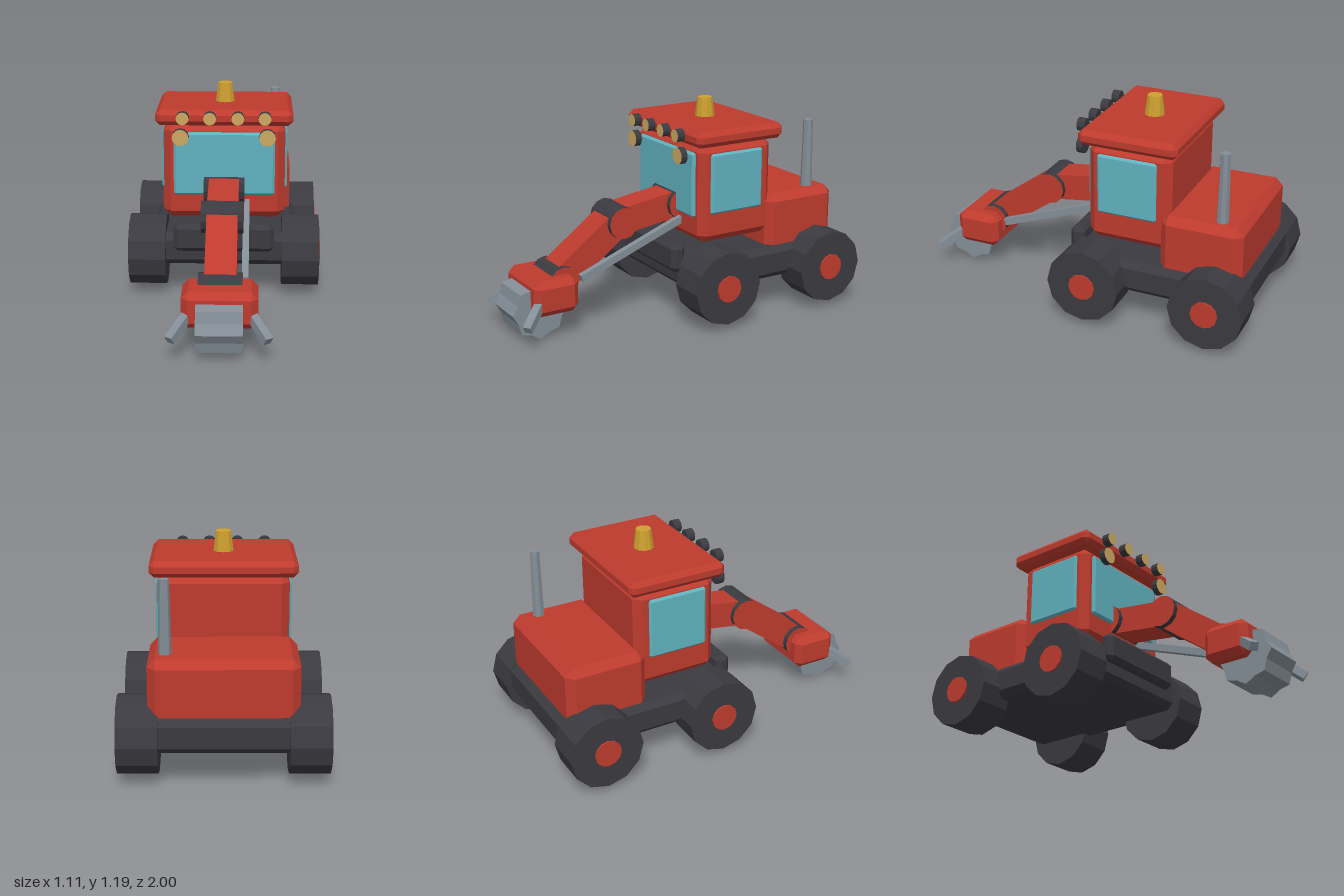
import * as THREE from 'three';
import { ConvexGeometry } from 'three/addons/geometries/ConvexGeometry.js';

export function createModel() {
  const model = new THREE.Group();
  model.name = 'cuttingTractor';

  const mat = (name, color) => {
    const m = new THREE.MeshStandardMaterial({ color });
    m.name = name;
    return m;
  };
  const red = mat('red paint', 0xbe3b2e);
  const dark = mat('dark rubber', 0x3a3a40);
  const steel = mat('steel', 0x848e97);
  const glass = mat('teal glass', 0x60b2bf);
  const gold = mat('beacon gold', 0xcda02f);
  const lens = mat('lamp lens', 0xcca862);

  const add = (name, geometry, material, x = 0, y = 0, z = 0) => {
    const mesh = new THREE.Mesh(geometry, material);
    mesh.name = name;
    mesh.position.set(x, y, z);
    model.add(mesh);
    return mesh;
  };

  // Box with all edges chamfered by c
  const chamferBox = (w, h, d, c) => {
    const points = [];
    const half = [w / 2, h / 2, d / 2];
    for (const sx of [-1, 1]) for (const sy of [-1, 1]) for (const sz of [-1, 1]) {
      for (let full = 0; full < 3; full++) {
        const p = half.map((v, i) => (i === full ? v : v - c));
        points.push(new THREE.Vector3(p[0] * sx, p[1] * sy, p[2] * sz));
      }
    }
    return new ConvexGeometry(points);
  };

  // Chamfered block given by its limits on each axis
  const block = (name, material, [x0, x1], [y0, y1], [z0, z1], c) =>
    add(name, chamferBox(x1 - x0, y1 - y0, z1 - z0, c), material,
      (x0 + x1) / 2, (y0 + y1) / 2, (z0 + z1) / 2);

  // Faceted cylinder along y
  const cylinder = (rTop, rBottom, h, sides) => {
    const g = new THREE.CylinderGeometry(rTop, rBottom, h, sides).toNonIndexed();
    g.computeVertexNormals();
    return g;
  };

  // Square bar between two points
  const bar = (name, material, a, b, w, h) => {
    const from = new THREE.Vector3(...a), to = new THREE.Vector3(...b);
    const mid = from.clone().add(to).multiplyScalar(0.5);
    const mesh = add(name, new THREE.BoxGeometry(w, h, from.distanceTo(to)), material, mid.x, mid.y, mid.z);
    mesh.lookAt(to);
    return mesh;
  };

  // Body
  block('chassis', dark, [-0.42, 0.42], [0.19, 0.375], [-0.965, 0.06], 0.035);
  block('frontBumper', dark, [-0.285, 0.285], [0.285, 0.445], [0.02, 0.105], 0.025);
  block('engineHood', red, [-0.385, 0.385], [0.29, 0.67], [-0.925, -0.465], 0.042);
  block('cab', red, [-0.345, 0.345], [0.445, 0.998], [-0.51, -0.035], 0.042);
  block('roof', red, [-0.387, 0.387], [0.995, 1.083], [-0.555, 0.008], 0.027);

  // Windows
  block('frontWindow', glass, [-0.287, 0.287], [0.587, 0.952], [-0.055, -0.017], 0.012);
  for (const s of [-1, 1]) {
    const x = [s * 0.32, s * 0.358].sort((a, b) => a - b);
    block('sideWindow', glass, x, [0.61, 0.95], [-0.435, -0.095], 0.012);
  }

  // Wheels and hubs
  for (const s of [-1, 1]) for (const z of [-0.09, -0.79]) {
    add('wheel', cylinder(0.207, 0.207, 0.212, 12), dark, s * 0.437, 0.242, z).rotation.z = -Math.PI / 2;
    add('hub', cylinder(0.075, 0.075, 0.06, 12), red, s * 0.523, 0.242, z).rotation.z = -Math.PI / 2;
  }

  // Lamps: dark housing with a lens on the front cap
  const lamp = (name, x, y, z, r, depth) => {
    add(name, cylinder(r, r, depth, 12), [dark, lens, dark], x, y, z).rotation.x = Math.PI / 2;
  };
  for (const x of [-0.23, -0.078, 0.078, 0.228]) lamp('roofLamp', x, 1.05, 0.042, 0.036, 0.046);
  for (const x of [-0.243, 0.243]) lamp('headLamp', x, 0.94, 0.038, 0.047, 0.038);

  // Beacon and exhaust
  add('beacon', cylinder(0.042, 0.057, 0.115, 10), gold, 0, 1.133, -0.28);
  add('exhaustPipe', cylinder(0.027, 0.034, 0.4, 8), steel, 0.297, 0.857, -0.79);

  // Folding arm with pivot drums
  const joints = [[0, 0.62, -0.065], [0, 0.565, 0.315], [0, 0.29, 0.69]];
  bar('boom', red, joints[0], joints[1], 0.17, 0.15);
  bar('stick', red, joints[1], joints[2], 0.168, 0.155);
  for (const j of joints) {
    add('armPivot', cylinder(0.09, 0.09, 0.23, 12), [dark, red, red], ...j).rotation.z = -Math.PI / 2;
  }
  bar('piston', steel, [0.127, 0.545, -0.05], [0.127, 0.305, 0.595], 0.036, 0.04);

  // Cutting head
  block('headHousing', red, [-0.197, 0.197], [0.145, 0.342], [0.632, 0.893], 0.036);

  // Cutting drum with eight shallow teeth
  const profile = new THREE.Shape();
  for (let i = 0; i < 16; i++) {
    const a = (i / 16) * Math.PI * 2, r = i % 2 ? 0.137 : 0.158;
    profile[i ? 'lineTo' : 'moveTo'](r * Math.cos(a), r * Math.sin(a));
  }
  profile.closePath();
  const drum = new THREE.ExtrudeGeometry(profile, { depth: 0.24, bevelEnabled: false });
  drum.translate(0, 0, -0.12);
  drum.rotateY(Math.PI / 2);
  add('cuttingDrum', drum, steel, 0, 0.16, 0.84);

  // Guide prongs beside the drum
  for (const s of [-1, 1]) {
    bar('guideProng', steel, [s * 0.155, 0.225, 0.85], [s * 0.248, 0.125, 0.975], 0.045, 0.045);
  }

  return model;
}
